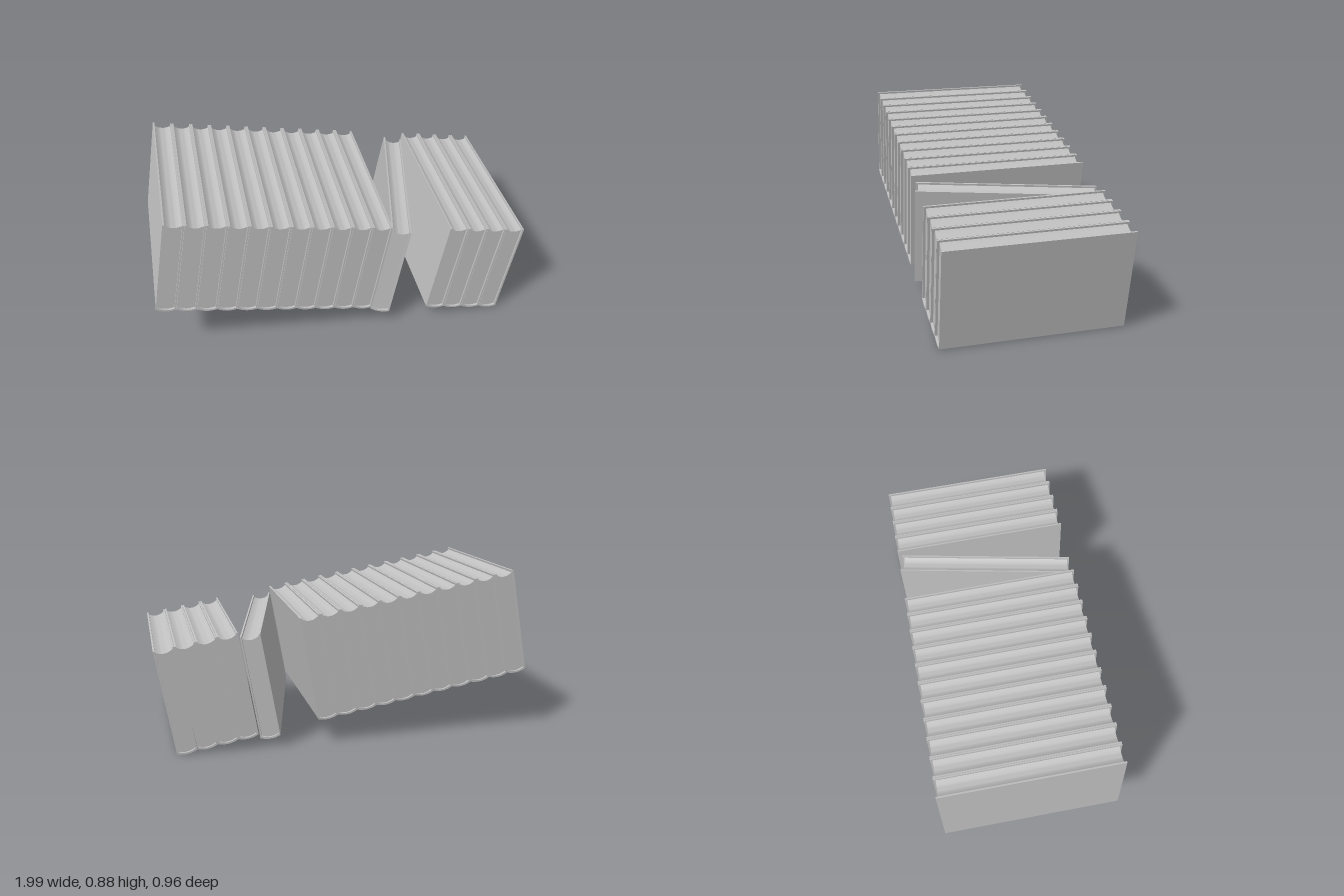
import * as THREE from 'three';
import { toCreasedNormals } from 'three/addons/utils/BufferGeometryUtils.js';

const W = 0.107;      // book thickness (one slot)
const H = 0.552;      // height from spine edge to fore edge
const D = 0.955;      // book length along z
const T = 0.009;      // cover board thickness
const BULGE = 0.011;  // rounding of the spine
const TILT = THREE.MathUtils.degToRad(10);
const SLOTS = 18;

function extrude(shape, depth) {
  const geo = new THREE.ExtrudeGeometry(shape, { depth, bevelEnabled: false, curveSegments: 10 });
  geo.translate(0, 0, -depth / 2);
  return toCreasedNormals(geo, 0.5);
}

// U-shaped cover: two boards joined by a rounded spine at the bottom
function coverGeometry() {
  const a = W / 2 - 0.0008, b = a - T;
  const s = new THREE.Shape();
  s.moveTo(-a, H);
  s.lineTo(-a, 0);
  s.quadraticCurveTo(0, -2 * BULGE, a, 0);
  s.lineTo(a, H);
  s.lineTo(b, H);
  s.lineTo(b, T);
  s.quadraticCurveTo(0, T - 2 * BULGE, -b, T);
  s.lineTo(-b, H);
  s.closePath();
  return extrude(s, D);
}

// Page block: rounded at the spine, hollowed at the fore edge, set back at both ends
function pagesGeometry() {
  const a = W / 2 - T - 0.0005, top = H - 0.01;
  const s = new THREE.Shape();
  s.moveTo(-a, T);
  s.quadraticCurveTo(0, T - 2 * BULGE, a, T);
  s.lineTo(a, top);
  s.quadraticCurveTo(0, top - 0.03, -a, top);
  s.closePath();
  return extrude(s, D - 0.025);
}

export function createModel() {
  const model = new THREE.Group();
  model.name = 'bookRow';
  const grey = new THREE.MeshStandardMaterial({ color: 0xc0c0c0 });
  grey.name = 'grey';
  const coverGeo = coverGeometry();
  const pagesGeo = pagesGeometry();

  function book(name, x) {
    const g = new THREE.Group();
    g.name = name;
    const cover = new THREE.Mesh(coverGeo, grey);
    cover.name = 'cover';
    const pages = new THREE.Mesh(pagesGeo, grey);
    pages.name = 'pages';
    g.add(cover, pages);
    g.position.x = x;
    return g;
  }

  // The whole row slopes down towards +x
  const row = new THREE.Group();
  row.name = 'slopedRow';
  row.rotation.z = -TILT;
  row.position.set(-0.998, SLOTS * W * Math.sin(TILT) + 0.001, 0);
  model.add(row);

  // Upright books, leaving three empty slots
  for (let i = 0; i < SLOTS; i++) {
    if (i > 10 && i < 14) continue;
    row.add(book('book' + (i + 1), (i + 0.5) * W));
  }

  // Loose book turned askew in the gap and sunk a little
  const loose = book('looseBook', 12.5 * W);
  loose.position.y = -0.033;
  loose.rotation.y = -THREE.MathUtils.degToRad(12.5);
  row.add(loose);

  return model;
}
